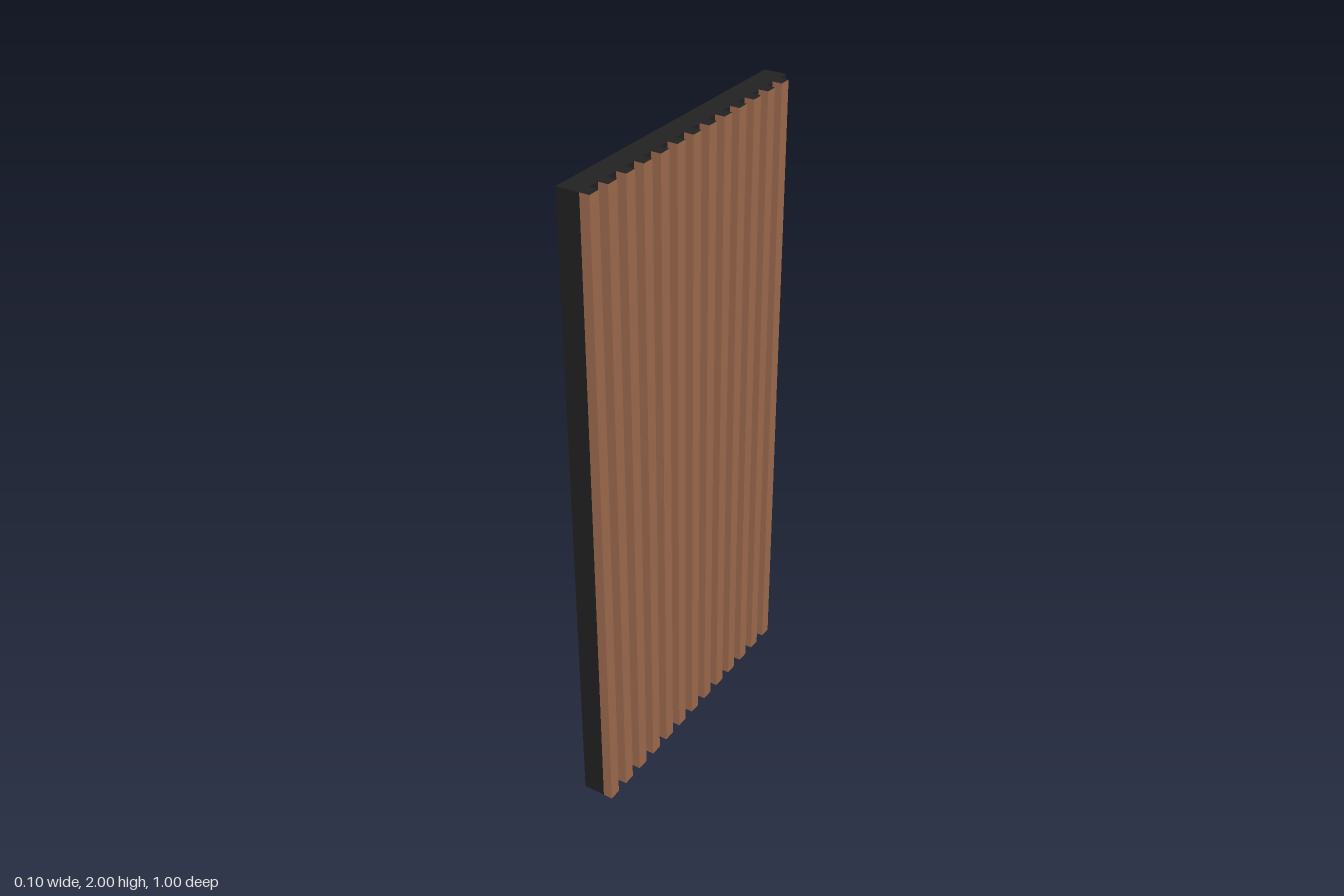
import * as THREE from 'three';

export function createModel() {
  const felt = new THREE.MeshStandardMaterial({ color: 0x222222 });
  felt.name = 'black felt';
  const wood = new THREE.MeshStandardMaterial({ color: 0xa06c50 });
  wood.name = 'brown wood';

  const model = new THREE.Group();
  model.name = 'slattedWallPanel';

  const height = 2, depth = 1, count = 13;
  const pitch = depth / count, slatWidth = pitch / 2;
  const backX = -0.05, seamX = 0.02, frontX = 0.05;

  // Backing board
  const backing = new THREE.Mesh(new THREE.BoxGeometry(seamX - backX, height, depth), felt);
  backing.name = 'backingBoard';
  backing.position.set((backX + seamX) / 2, height / 2, 0);
  model.add(backing);

  // Vertical slats: wooden sides, black ends (face order +x, -x, +y, -y, +z, -z)
  const slatGeometry = new THREE.BoxGeometry(frontX - seamX, height, slatWidth);
  const slatMaterials = [wood, wood, felt, felt, wood, wood];
  const slats = new THREE.Group();
  slats.name = 'slats';
  for (let i = 0; i < count; i++) {
    const slat = new THREE.Mesh(slatGeometry, slatMaterials);
    slat.name = `slat${i + 1}`;
    slat.position.set((seamX + frontX) / 2, height / 2, depth / 2 - slatWidth / 2 - i * pitch);
    slats.add(slat);
  }
  model.add(slats);

  return model;
}
